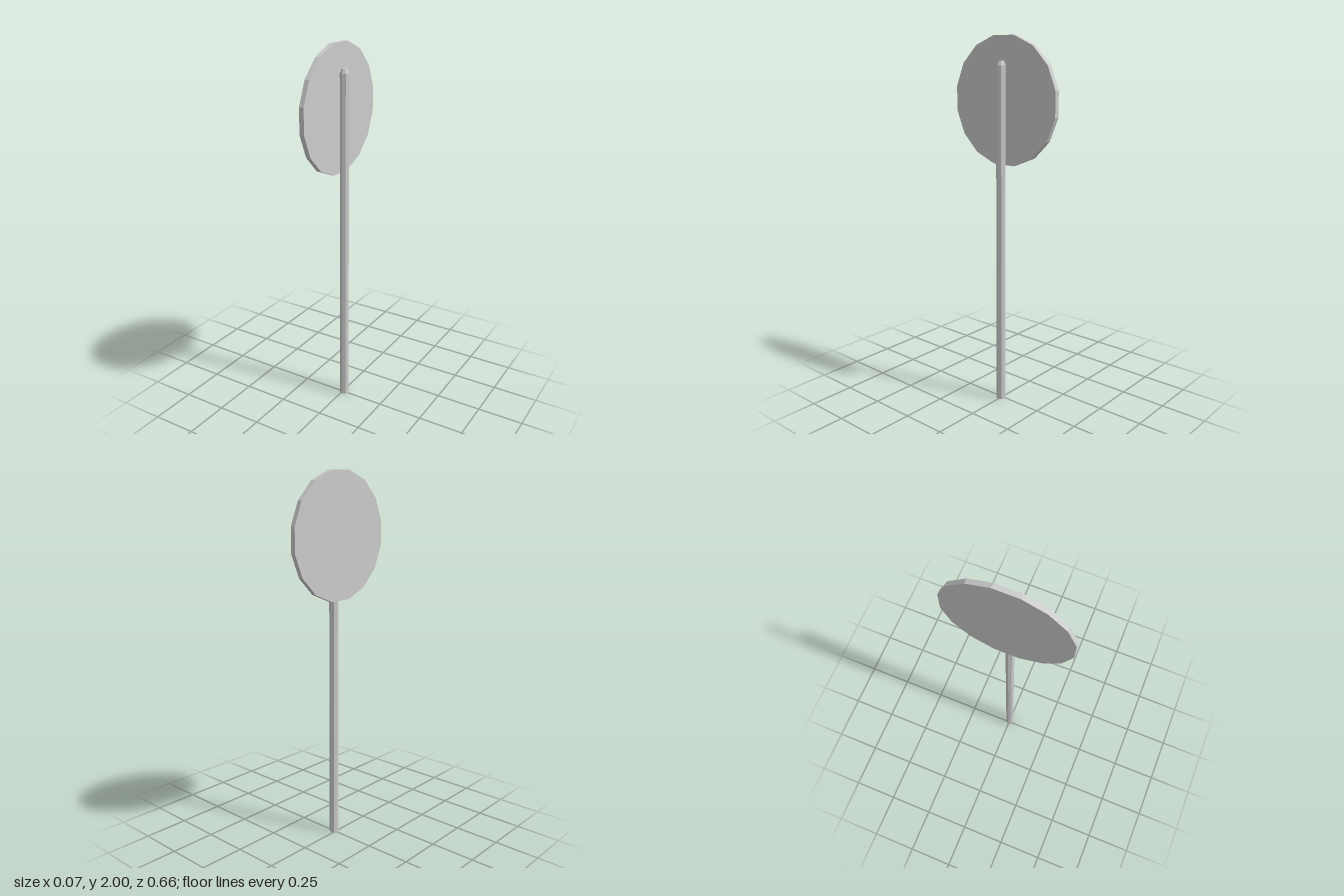
import * as THREE from 'three';

export function createModel() {
  const model = new THREE.Group();
  const metal = new THREE.MeshStandardMaterial({ color: 0xcccccc, flatShading: true });
  metal.name = 'light grey metal';

  const add = (name, geometry, x, y) => {
    const mesh = new THREE.Mesh(geometry, metal);
    mesh.name = name;
    mesh.position.set(x, y, 0);
    model.add(mesh);
  };

  // Eight-sided pole with a chamfered top
  const profile = [[0, 0], [0.0245, 0], [0.0245, 1.852], [0.015, 1.875], [0, 1.875]]
    .map(([r, y]) => new THREE.Vector2(r, y));
  add('pole', new THREE.LatheGeometry(profile, 8), 0.0105, 0);

  // Sixteen-sided round plate facing sideways, with a flat edge on top
  const apothem = 0.33;
  const plate = new THREE.CylinderGeometry(
    apothem / Math.cos(Math.PI / 16), apothem / Math.cos(Math.PI / 16), 0.026, 16);
  plate.rotateY(Math.PI / 16).rotateZ(Math.PI / 2);
  add('signPlate', plate, -0.024, 2 - apothem);

  return model;
}
